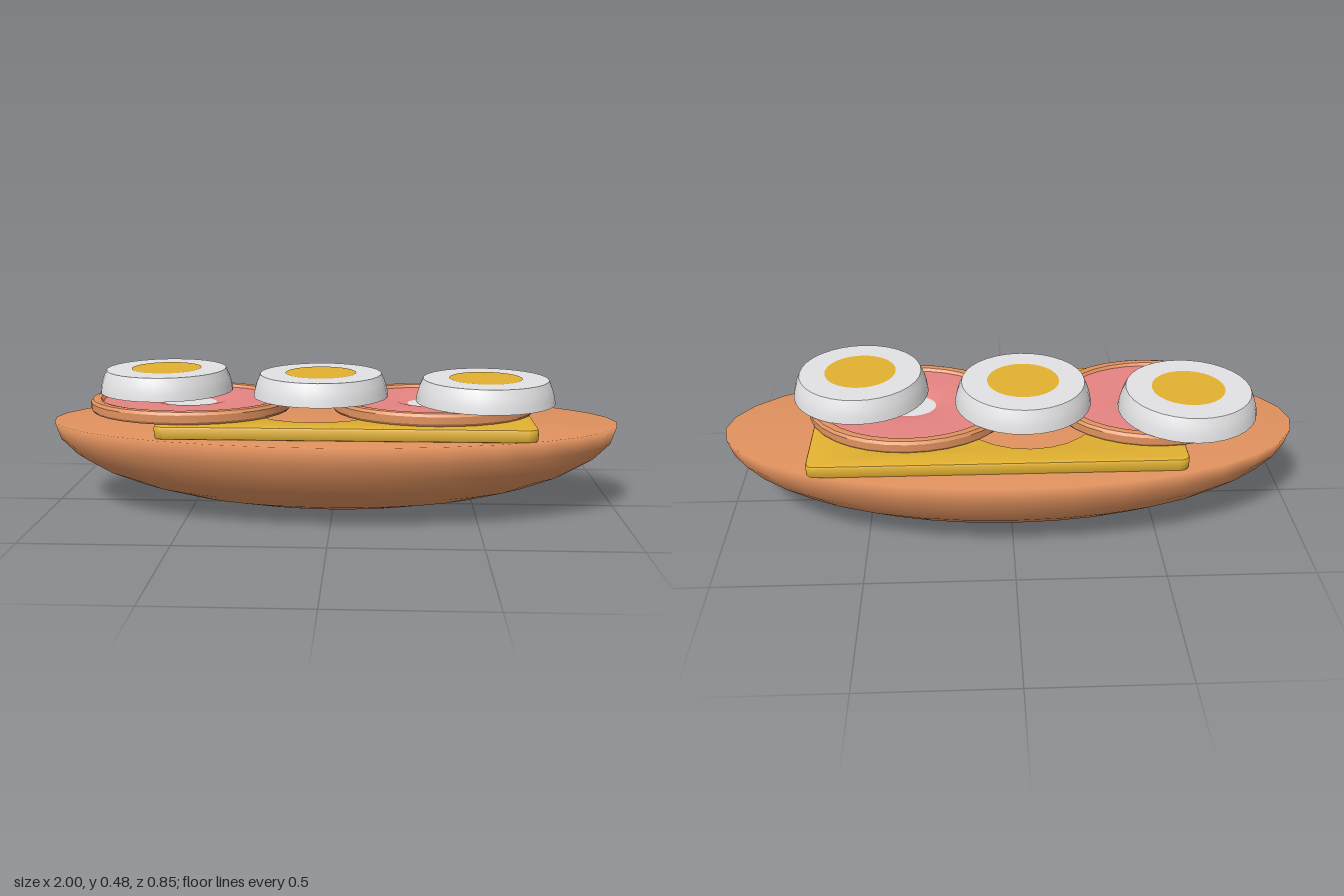
import * as THREE from 'three';
import { toCreasedNormals } from 'three/addons/utils/BufferGeometryUtils.js';

const mat = (name, color) => {
  const m = new THREE.MeshStandardMaterial({ color });
  m.name = name;
  return m;
};

export function createModel() {
  const crust = mat('crust brown', 0xe0915e);
  const yellow = mat('cheese yellow', 0xe2b130);
  const pink = mat('ham pink', 0xe68482);
  const white = mat('egg white', 0xe2e2e4);

  const model = new THREE.Group();
  model.name = 'openSandwich';

  const add = (parent, name, geometry, material, x = 0, y = 0, z = 0) => {
    const mesh = new THREE.Mesh(geometry, material);
    mesh.name = name;
    mesh.position.set(x, y, z);
    parent.add(mesh);
    return mesh;
  };
  const lathe = (pts, segments = 32) =>
    new THREE.LatheGeometry(pts.map(([r, y]) => new THREE.Vector2(r, y)), segments);
  const creased = (pts) => toCreasedNormals(lathe(pts), 0.6);

  // Bread: half ellipsoid, softly shaded across its flat top
  const breadProfile = [];
  for (let i = 0; i <= 8; i++) {
    const a = (i / 8) * Math.PI / 2;
    breadProfile.push([Math.sin(a), 0.31 - 0.307 * Math.cos(a)]);
  }
  breadProfile.push([0, 0.31]);
  const bread = lathe(breadProfile);
  bread.scale(1, 1, 0.427);
  add(model, 'breadHalf', bread, crust);

  // Cheese slice with rounded corners and holes
  const x0 = -0.57, x1 = 0.67, h = 0.33, c = 0.025;
  const slice = new THREE.Shape();
  slice.moveTo(x0 + c, -h);
  slice.lineTo(x1 - c, -h);
  slice.quadraticCurveTo(x1, -h, x1, -h + c);
  slice.lineTo(x1, h - c);
  slice.quadraticCurveTo(x1, h, x1 - c, h);
  slice.lineTo(x0 + c, h);
  slice.quadraticCurveTo(x0, h, x0, h - c);
  slice.lineTo(x0, -h + c);
  slice.quadraticCurveTo(x0, -h, x0 + c, -h);
  for (const [x, z, r] of [[-0.06, 0.0, 0.255], [0.31, -0.15, 0.1]]) {
    const hole = new THREE.Path();
    hole.absarc(x, -z, r, 0, Math.PI * 2, true);
    slice.holes.push(hole);
  }
  const cheese = new THREE.ExtrudeGeometry(slice, {
    depth: 0.029, bevelEnabled: true, bevelThickness: 0.008, bevelSize: 0.01,
    bevelSegments: 2, curveSegments: 12,
  });
  cheese.rotateX(-Math.PI / 2);
  add(model, 'cheeseSlice', toCreasedNormals(cheese, 0.6), yellow, 0, 0.318, 0);

  // Oval ham slices: rind, dished meat and pale centre
  for (const [x, z] of [[-0.503, 0.03], [0.35, 0.02]]) {
    const ham = new THREE.Group();
    ham.name = 'hamSlice';
    ham.position.set(x, 0.355, z);
    ham.scale.z = 0.815;
    add(ham, 'hamRind', creased([
      [0, 0], [0.345, 0], [0.351, 0.008], [0.351, 0.032], [0.343, 0.042],
      [0.33, 0.045], [0.315, 0.042], [0.305, 0.03],
    ]), crust);
    add(ham, 'hamMeat', lathe([
      [0.306, 0.032], [0.22, 0.034], [0.13, 0.031], [0.09, 0.022],
    ]), pink);
    add(ham, 'hamCentre', lathe([[0.092, 0.022], [0, 0.022]]), white);
    model.add(ham);
  }

  // Egg slices with flush yolks
  for (const [x, z] of [[-0.608, -0.075], [-0.045, 0.003], [0.525, 0.092]]) {
    const egg = new THREE.Group();
    egg.name = 'eggSlice';
    egg.position.set(x, 0.4, z);
    add(egg, 'eggWhite', creased([
      [0, 0], [0.238, 0], [0.234, 0.025], [0.226, 0.052], [0.214, 0.079], [0, 0.079],
    ]), white);
    add(egg, 'eggYolk', lathe([[0.125, 0.0805], [0, 0.0805]]), yellow);
    model.add(egg);
  }

  return model;
}
